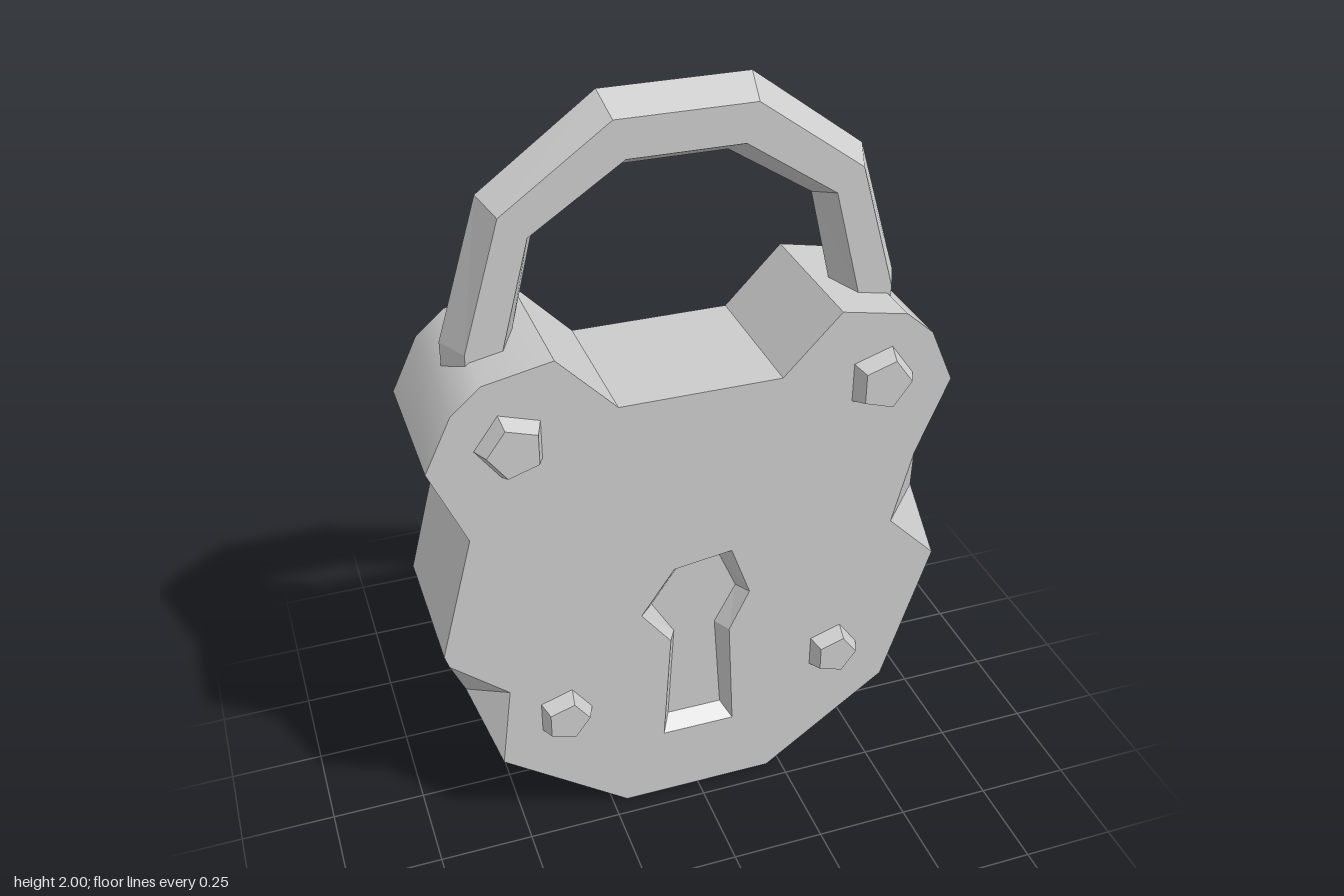
import * as THREE from 'three';
import { toCreasedNormals } from 'three/addons/utils/BufferGeometryUtils.js';

const DEPTH = 0.2; // half thickness of the body

// Collects triangles and quads into one geometry
function faceBuilder() {
  const pos = [];
  const tri = (a, b, c) => pos.push(...a, ...b, ...c);
  const quad = (a, b, c, d) => { tri(a, b, c); tri(a, c, d); };
  const build = () => {
    const g = new THREE.BufferGeometry();
    g.setAttribute('position', new THREE.Float32BufferAttribute(pos, 3));
    g.computeVertexNormals();
    return g;
  };
  return { tri, quad, build };
}

const toShape = (pts) => new THREE.Shape(pts.map(([x, y]) => new THREE.Vector2(x, y)));

// Body outline, counter-clockwise; a chip entry holds the wall point and the face point
const OUTLINE = [
  { p: [-0.21, 0] }, { p: [0.21, 0] }, { p: [0.55, 0.25] }, { p: [0.675, 0.65] },
  { p: [0.6275, 0.84], chip: [0.54, 0.785] },
  { p: [0.59, 0.99] }, { p: [0.675, 1.2] }, { p: [0.61, 1.345] }, { p: [0.535, 1.41] },
  { p: [0.36, 1.445] }, { p: [0.21, 1.29] }, { p: [-0.21, 1.29] }, { p: [-0.36, 1.445] },
  { p: [-0.535, 1.41] }, { p: [-0.61, 1.345] }, { p: [-0.68, 1.2] }, { p: [-0.59, 0.99] },
  { p: [-0.68, 0.65] }, { p: [-0.669, 0.615] },
  { p: [-0.622, 0.47], chip: [-0.52, 0.487] },
  { p: [-0.55, 0.25] },
];

// Keyhole rim and the smaller floor of its recess, counter-clockwise
const KEY_RIM = [[-0.1, 0.215], [0.1, 0.215], [0.085, 0.535], [0.14, 0.65],
  [0.087, 0.797], [-0.07, 0.775], [-0.16, 0.645], [-0.08, 0.54]];
const KEY_FLOOR = [[-0.075, 0.25], [0.077, 0.25], [0.057, 0.54], [0.115, 0.65],
  [0.067, 0.762], [-0.04, 0.762], [-0.12, 0.645], [-0.058, 0.538]];

export function createModel() {
  const model = new THREE.Group();
  const grey = new THREE.MeshStandardMaterial({ color: 0xcccccc });
  const faceted = new THREE.MeshStandardMaterial({ color: 0xcccccc, flatShading: true });
  const add = (name, geometry, material, parent = model) => {
    const mesh = new THREE.Mesh(geometry, material);
    mesh.name = name;
    parent.add(mesh);
    return mesh;
  };

  // Body: front plate with keyhole opening, back plate, side walls
  const body = new THREE.Group();
  body.name = 'body';
  model.add(body);

  const front = toShape(OUTLINE.map((o) => o.chip ?? o.p));
  front.holes.push(toShape(KEY_RIM));
  add('frontPlate', new THREE.ShapeGeometry(front).translate(0, 0, DEPTH), faceted, body);

  const back = toShape(OUTLINE.map(({ p }) => [-p[0], p[1]]).reverse());
  add('backPlate', new THREE.ShapeGeometry(back).rotateY(Math.PI).translate(0, 0, -DEPTH), faceted, body);

  const walls = faceBuilder();
  const chips = faceBuilder();
  const wallFront = (o) => [...o.p, o.chip ? 0.13 : DEPTH];
  OUTLINE.forEach((a, i) => {
    const b = OUTLINE[(i + 1) % OUTLINE.length];
    walls.quad([...a.p, -DEPTH], [...b.p, -DEPTH], wallFront(b), wallFront(a));
    // Dented corner facets on either side of a chip
    const chip = a.chip ?? b.chip;
    if (chip) chips.tri(wallFront(a), wallFront(b), [...chip, DEPTH]);
  });
  add('sideWalls', toCreasedNormals(walls.build(), 0.53), grey, body);
  add('edgeChips', chips.build(), faceted, body);

  // Keyhole recess
  const keyWalls = faceBuilder();
  const floorZ = DEPTH - 0.04;
  KEY_RIM.forEach((a, i) => {
    const j = (i + 1) % KEY_RIM.length;
    keyWalls.quad([...a, DEPTH], [...KEY_RIM[j], DEPTH], [...KEY_FLOOR[j], floorZ], [...KEY_FLOOR[i], floorZ]);
  });
  add('keyholeWalls', keyWalls.build(), faceted, body);
  add('keyholeFloor', new THREE.ShapeGeometry(toShape(KEY_FLOOR)).translate(0, 0, floorZ), faceted, body);

  // Shackle: mitred hexagonal bar between an outer and an inner path
  const half = [ // [outer, inner] from the foot to the crown on the +x side
    [[0.587, 1.28], [0.41, 1.28]],
    [[0.587, 1.43], [0.41, 1.43]],
    [[0.477, 1.787], [0.35, 1.677]],
    [[0.187, 2], [0.132, 1.815]],
  ];
  const mirrored = half.map((s) => s.map(([x, y]) => [-x, y])).reverse();
  const section = [[0, 0], [0.24, 0.085], [0.76, 0.085], [1, 0], [0.76, -0.085], [0.24, -0.085]];
  const rings = [...half, ...mirrored].map(([o, n]) => section.map(([t, z]) => [
    THREE.MathUtils.lerp(o[0], n[0], t), THREE.MathUtils.lerp(o[1], n[1], t), z]));
  const bar = faceBuilder();
  for (let r = 0; r < rings.length - 1; r++) {
    for (let k = 0; k < 6; k++) {
      const m = (k + 1) % 6;
      bar.quad(rings[r][k], rings[r + 1][k], rings[r + 1][m], rings[r][m]);
    }
  }
  add('shackle', bar.build(), faceted);

  // Rivets: tapered five-sided studs, turned so one corner points sideways
  const rivet = (name, x, y, radius, corner, side) => {
    const g = new THREE.CylinderGeometry(radius * 0.77, radius, 0.042, 5)
      .rotateX(Math.PI / 2).rotateZ(corner * Math.PI / 2);
    if (side < 0) g.rotateY(Math.PI);
    add(name, g, faceted).position.set(x, y, side * (DEPTH + 0.021));
  };
  for (const side of [1, -1]) {
    const where = side > 0 ? 'front' : 'back';
    rivet(where + 'UpperLeftRivet', 0.473, 1.24, 0.09, side, side);
    rivet(where + 'UpperRightRivet', -0.473, 1.24, 0.09, -side, side);
  }
  rivet('frontLowerLeftRivet', 0.388, 0.392, 0.076, 1, 1);
  rivet('frontLowerRightRivet', -0.378, 0.376, 0.076, 1, 1);

  return model;
}
